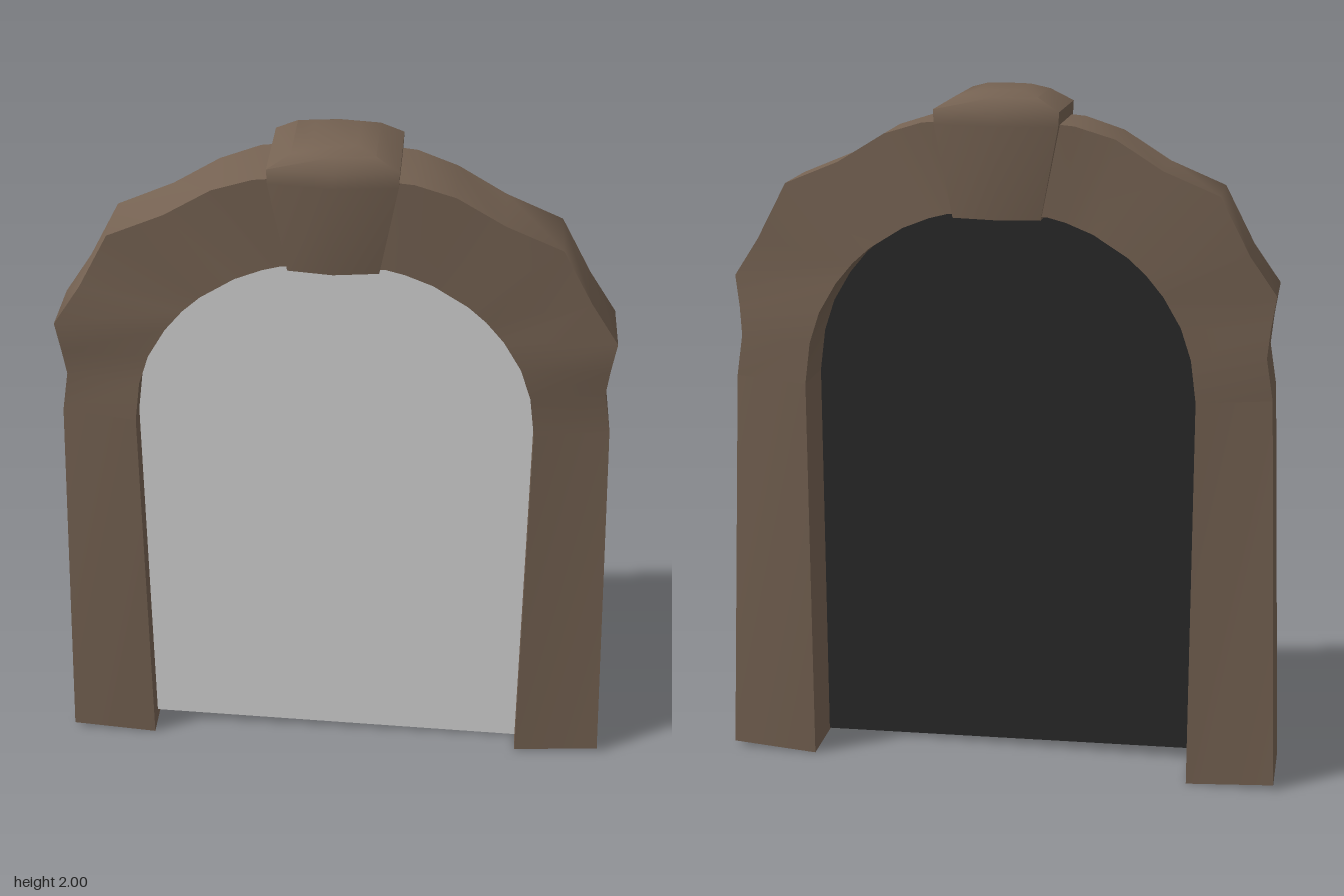
import * as THREE from 'three';
import { toCreasedNormals } from 'three/addons/utils/BufferGeometryUtils.js';

// Skin a list of equal-sized rings (counter-clockwise seen from above) and cap both ends.
function loft(rings, crease) {
  const pos = [];
  const tri = (a, b, c) => pos.push(...a, ...b, ...c);
  const n = rings[0].length;
  for (let i = 0; i < rings.length - 1; i++) {
    for (let j = 0; j < n; j++) {
      const k = (j + 1) % n;
      const a = rings[i][j], b = rings[i][k], c = rings[i + 1][j], d = rings[i + 1][k];
      tri(a, b, d);
      tri(a, d, c);
    }
  }
  const low = rings[0], high = rings[rings.length - 1];
  for (let j = 1; j < n - 1; j++) {
    tri(low[0], low[j + 1], low[j]);
    tri(high[0], high[j], high[j + 1]);
  }
  const g = new THREE.BufferGeometry();
  g.setAttribute('position', new THREE.Float32BufferAttribute(pos, 3));
  return toCreasedNormals(g, crease);
}

// Four-cornered stone section, mirrored to either side.
function section([ox, oy, ix, iy, front, back], side, inner = 0.115) {
  const ring = [
    [side * ox, oy, front], [side * ox, oy, -back],
    [side * ix, iy, -inner], [side * ix, iy, inner],
  ];
  return side > 0 ? ring : ring.reverse();
}

// outer x, outer y, inner x, inner y, front depth, back depth
const PILLAR = [
  [0.813, 0.02, 0.56, 0.005, 0.11, 0.11],
  [0.765, 1.17, 0.556, 1.16, 0.09, 0.09],
];
const ARCH = [
  [0.765, 1.17, 0.556, 1.16, 0.09, 0.09],
  [0.745, 1.29, 0.54, 1.28, 0.09, 0.095],
  [0.752, 1.37, 0.51, 1.37, 0.105, 0.085],
  [0.765, 1.46, 0.46, 1.455, 0.112, 0.075],
  [0.69, 1.57, 0.41, 1.515, 0.095, 0.09],
  [0.605, 1.73, 0.36, 1.56, 0.103, 0.088],
  [0.45, 1.795, 0.265, 1.62, 0.1, 0.095],
  [0.32, 1.875, 0.19, 1.65, 0.107, 0.09],
  [0.21, 1.91, 0.14, 1.663, 0.11, 0.105],
  [0.1, 1.92, 0.09, 1.665, 0.11, 0.11],
];

// Opening outline; lowLeft and lowRight are the heights of its bottom corners.
function panelGeometry(lowLeft, lowRight) {
  const half = [
    [0.565, 1.16], [0.55, 1.28], [0.52, 1.37], [0.47, 1.46],
    [0.37, 1.57], [0.27, 1.63], [0.15, 1.675],
  ];
  const points = [
    [-0.565, lowLeft], [0.565, lowRight], ...half,
    ...half.slice().reverse().map(([x, y]) => [-x, y]),
  ];
  return new THREE.ShapeGeometry(new THREE.Shape(points.map(([x, y]) => new THREE.Vector2(x, y))));
}

export function createModel() {
  const model = new THREE.Group();
  model.name = 'stoneArchway';

  const stone = new THREE.MeshStandardMaterial({ color: 0x756252 });
  stone.name = 'brownStone';
  const pale = new THREE.MeshStandardMaterial({ color: 0xd8d8d8 });
  pale.name = 'paleGrey';
  const dark = new THREE.MeshStandardMaterial({ color: 0x292929 });
  dark.name = 'nearBlack';

  const add = (name, geometry, material) => {
    const mesh = new THREE.Mesh(geometry, material);
    mesh.name = name;
    model.add(mesh);
    return mesh;
  };

  // Tapered pillars and rugged arch halves
  for (const [label, side] of [['left', 1], ['right', -1]]) {
    add(label + 'Pillar', loft(PILLAR.map((s) => section(s, side)), 0.9), stone);
    add(label + 'Arch', loft(ARCH.map((s) => section(s, side)), 0.9), stone);
  }

  // Wedge keystone with bulging faces and a domed top: height, half width, half depth
  const key = [
    [1.655, 0.122, 0.122], [1.91, 0.17, 0.132], [1.95, 0.172, 0.13],
    [1.985, 0.11, 0.105], [2.0, 0.06, 0.075],
  ].map(([y, w, d]) => [
    [w, y, d], [w, y, -d], [0, y, -d * 1.14],
    [-w, y, -d], [-w, y, d], [0, y, d * 1.14],
  ]);
  add('keystone', loft(key, 0.9), stone);

  // Two-faced panel filling the opening
  add('frontPanel', panelGeometry(0.04, 0.01), pale).position.z = 0.052;
  const back = add('backPanel', panelGeometry(0.01, 0.04), dark);
  back.rotation.y = Math.PI;
  back.position.z = 0.049;

  // The archway stands diagonally
  model.rotation.y = -0.742;
  const root = new THREE.Group();
  root.name = 'archway';
  root.add(model);
  return root;
}
